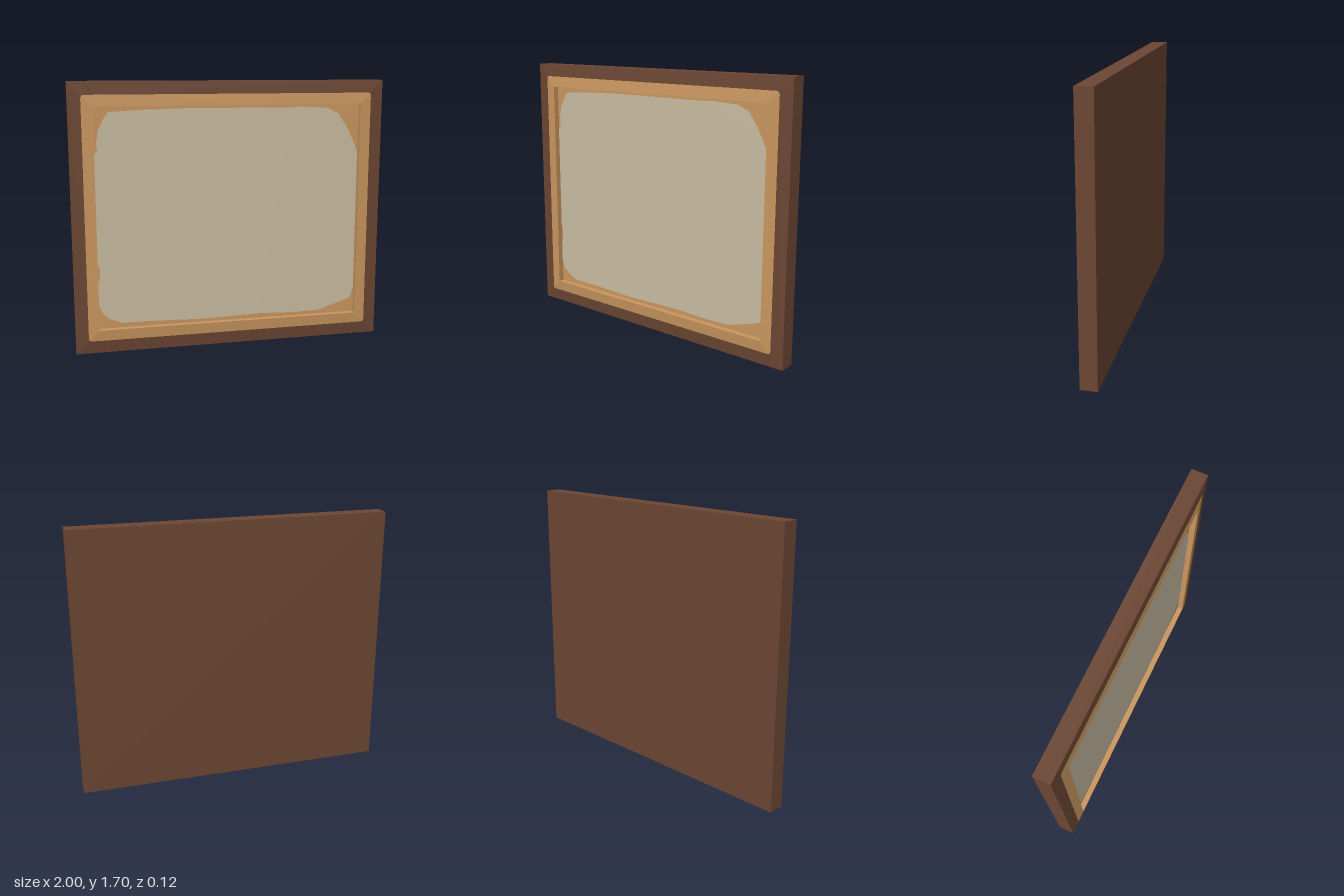
import * as THREE from 'three';

const W = 1, H = 0.85;          // half width and half height of the frame
const RIM = 0.15, BAND = 0.08;  // moulding width, width of its dark outer band
const Z_BACK = -0.06, Z_EDGE = 0.045, Z_LIP = 0.06, Z_PANEL = 0.023;

export function createModel() {
  const model = new THREE.Group();
  model.name = 'framedPanel';

  const material = (name, color) => {
    const m = new THREE.MeshStandardMaterial({ color });
    m.name = name;
    return m;
  };
  const darkWood = material('dark wood', 0x6b4633);
  const lightWood = material('light wood', 0xc9965f);
  const cream = material('cream', 0xc9bca1);

  const add = (name, geometry, mat, parent = model) => {
    const mesh = new THREE.Mesh(geometry, mat);
    mesh.name = name;
    parent.add(mesh);
    return mesh;
  };

  // Dark tray: a box with its front face left out
  const tray = new THREE.BoxGeometry(2 * W, 2 * H, Z_EDGE - Z_BACK);
  const index = Array.from(tray.index.array);
  index.splice(24, 6);
  tray.setIndex(index);
  tray.clearGroups();
  add('tray', tray, darkWood).position.set(0, H, (Z_EDGE + Z_BACK) / 2);

  // One mitred face of the moulding, rising from the outer edge to the lip
  const slope = (points, h) => {
    const g = new THREE.ShapeGeometry(new THREE.Shape(points.map(p => new THREE.Vector2(...p))));
    const pos = g.attributes.position;
    for (let i = 0; i < pos.count; i++) {
      const t = (h - pos.getY(i)) / RIM;
      pos.setZ(i, Z_EDGE + (Z_LIP - Z_EDGE) * t);
    }
    g.computeVertexNormals();
    return g;
  };

  // Four sides of the moulding
  ['top', 'left', 'bottom', 'right'].forEach((sideName, k) => {
    const [w, h] = k % 2 ? [H, W] : [W, H];
    const side = new THREE.Group();
    side.name = sideName + 'Moulding';
    side.position.y = H;
    side.rotation.z = [0, -Math.PI / 2, Math.PI, Math.PI / 2][k];
    model.add(side);

    // Colour boundary with softly rounded corners
    const r = 0.02, edge = [];
    for (let i = 0; i <= 3; i++) {
      const a = Math.PI / 4 * (1 + i / 3);
      edge.push([w - BAND - r + r * Math.cos(a), h - BAND - r + r * Math.sin(a)]);
    }
    const boundary = [...edge, ...edge.map(([x, y]) => [-x, y]).reverse()];

    add('outerBand', slope([[-w, h], ...[...boundary].reverse(), [w, h]], h), darkWood, side);
    add('innerBand', slope([...boundary, [RIM - w, h - RIM], [w - RIM, h - RIM]], h), lightWood, side);

    // Wall of the recess, facing inwards
    const wall = add('recessWall',
      new THREE.PlaneGeometry(2 * (w - RIM), Z_LIP - Z_PANEL), lightWood, side);
    wall.rotation.x = Math.PI / 2;
    wall.position.set(0, h - RIM, (Z_LIP + Z_PANEL) / 2);
  });

  // Recessed panel
  add('panel', new THREE.PlaneGeometry(2 * (W - RIM), 2 * (H - RIM)), lightWood)
    .position.set(0, H, Z_PANEL);

  // Cream paint with an uneven border
  const outline = [
    [-0.849, 1.26], [-0.83, 1.28], [-0.835, 1.33], [-0.82, 1.41], [-0.79, 1.47], [-0.76, 1.515],
    [-0.58, 1.525], [-0.28, 1.533], [0.41, 1.53], [0.45, 1.535], [0.63, 1.525], [0.71, 1.49],
    [0.76, 1.42], [0.81, 1.33], [0.849, 1.235], [0.849, 0.325], [0.83, 0.25], [0.76, 0.225],
    [0.68, 0.2], [0.6, 0.175], [0.41, 0.172], [0.2, 0.18], [-0.18, 0.17], [-0.52, 0.18],
    [-0.71, 0.18], [-0.79, 0.215], [-0.83, 0.255], [-0.849, 0.31], [-0.849, 0.45],
    [-0.837, 0.47], [-0.837, 0.54], [-0.849, 0.57],
  ].map(p => new THREE.Vector2(...p));
  add('paint', new THREE.ShapeGeometry(new THREE.Shape(outline)), cream).position.z = Z_PANEL + 0.002;

  return model;
}
